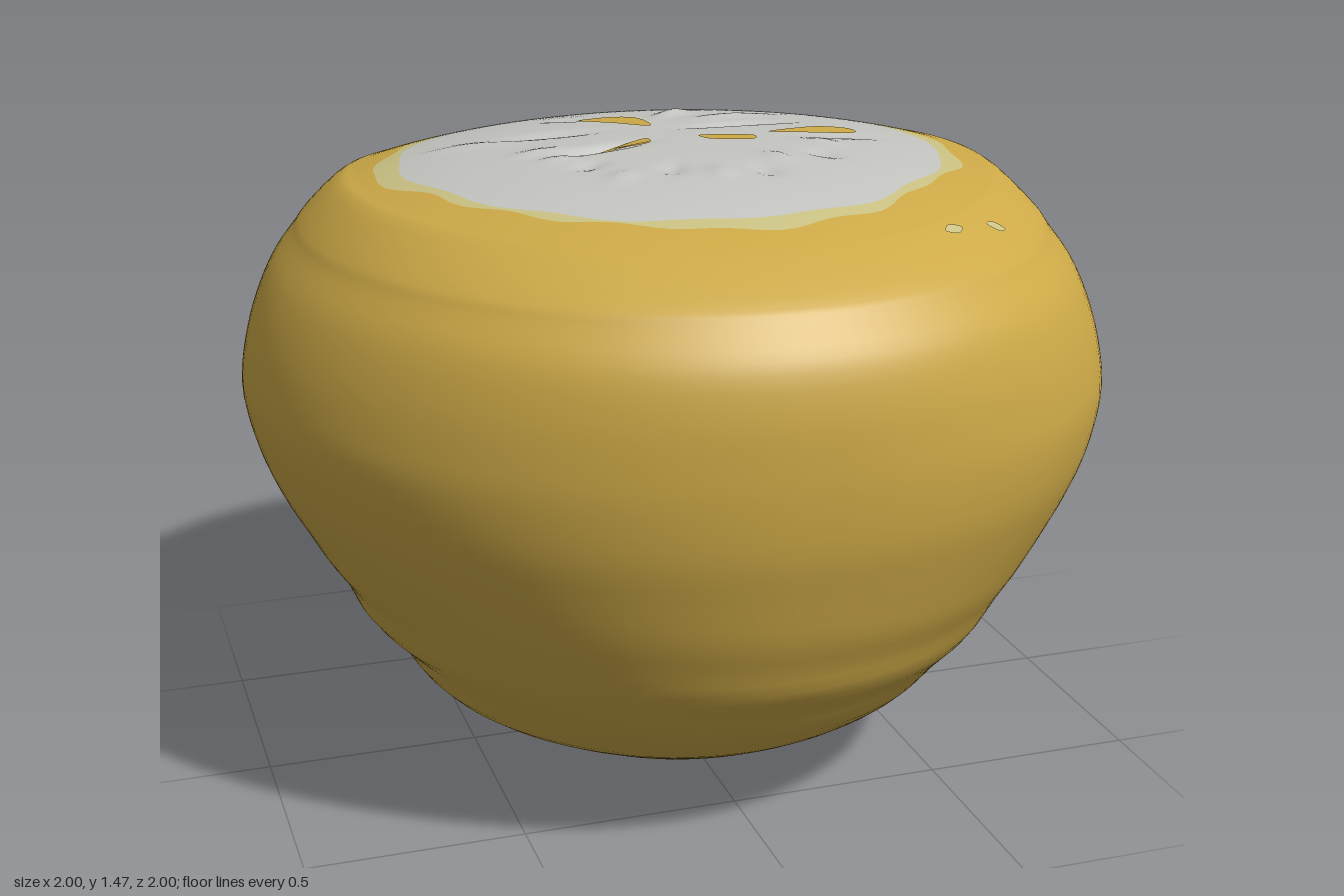
import * as THREE from 'three';

const skin = new THREE.MeshStandardMaterial({ color: 0xcda947 });
skin.name = 'golden skin';
const rim = new THREE.MeshStandardMaterial({ color: 0xcac183 });
rim.name = 'pale rim';
const flesh = new THREE.MeshStandardMaterial({ color: 0xc4c4c0 });
flesh.name = 'pale flesh';

// height, radius to the sides, radius to the front, radius to the back
const ROWS = [
  [0, 0, 0, 0], [0.01, 0.18, 0.17, 0.17], [0.04, 0.3, 0.3, 0.3], [0.09, 0.41, 0.44, 0.42],
  [0.14, 0.5, 0.54, 0.52], [0.2, 0.605, 0.64, 0.615], [0.3, 0.68, 0.75, 0.72], [0.4, 0.76, 0.83, 0.8],
  [0.5, 0.82, 0.885, 0.865], [0.6, 0.88, 0.925, 0.915], [0.7, 0.935, 0.955, 0.955],
  [0.8, 0.975, 0.982, 0.98], [0.92, 1, 0.997, 1], [1, 0.992, 1, 0.995], [1.1, 0.965, 0.997, 0.98],
  [1.2, 0.92, 0.975, 0.935], [1.27, 0.87, 0.925, 0.87], [1.3, 0.85, 0.9, 0.83],
];

// Radius of the flesh and of its rim every 22.5 degrees, from +x towards +z
const FLESH = [0.62, 0.63, 0.61, 0.62, 0.61, 0.62, 0.62, 0.62, 0.63, 0.61, 0.59, 0.6, 0.58, 0.58, 0.575, 0.6];
const RIM = [0.665, 0.67, 0.63, 0.655, 0.665, 0.64, 0.64, 0.645, 0.69, 0.645, 0.62, 0.645, 0.586, 0.592, 0.6, 0.645];

// Wrinkles in the cut: x, z, length, width, height, turn
const WRINKLES = [
  [-0.25, -0.11, 0.1, 0.025, -0.012, 0], [0.2, -0.1, 0.12, 0.02, -0.012, -0.1], [0.1, -0.28, 0.07, 0.025, 0.012, -0.8],
  [0.22, -0.2, 0.1, 0.03, 0.008, -0.2], [-0.15, -0.31, 0.05, 0.03, -0.01, 0.3], [-0.19, 0.08, 0.09, 0.022, -0.022, -0.3],
  [-0.33, 0.06, 0.06, 0.025, 0.008, -0.3], [0.4, 0.07, 0.08, 0.02, -0.008, 0], [-0.45, -0.1, 0.1, 0.03, 0.007, 0.2],
];
// A broken ring of small lumps towards the front of the cut
for (let i = 0; i < 9; i++) {
  const a = 0.4 + i * 0.29, r = 0.35 + 0.04 * Math.sin(i * 2.3);
  WRINKLES.push([r * Math.cos(a), r * Math.sin(a), 0.04, 0.025, i % 2 ? -0.01 : 0.008, a]);
}

function around(table, a) {
  const f = (a / (2 * Math.PI)) * table.length, i = Math.floor(f), t = f - i;
  const s = t * t * (3 - 2 * t);
  return table[i % table.length] * (1 - s) + table[(i + 1) % table.length] * s;
}

function blend(a, side, front, back) {
  const c = Math.cos(a) ** 2;
  return side * c + (Math.sin(a) > 0 ? front : back) * (1 - c);
}

// Height of the gently domed top
function topHeight(a, r) {
  let y = 1.465 - blend(a, 0.175, 0.22, 0.3) * r ** 3;
  const x = r * Math.cos(a), z = r * Math.sin(a);
  for (const [px, pz, len, wid, h, turn] of WRINKLES) {
    const c = Math.cos(turn), s = Math.sin(turn);
    const u = ((x - px) * c + (z - pz) * s) / len, v = ((z - pz) * c - (x - px) * s) / wid;
    y += h * Math.exp(-u * u - v * v);
  }
  return y;
}

// One closed skin from the base to the middle of the cut, in three colours
function fruitBody() {
  const COLS = 144, BODY = 64, LIP = 6, EDGE = 4, CUT = 36;
  const rows = BODY + LIP + EDGE + CUT;
  const pos = [], index = [];
  for (let j = 0; j < COLS; j++) {
    const a = (j / COLS) * 2 * Math.PI;
    const bulge = Math.cos(a) > 0 ? 0.022 * Math.max(0, Math.sin(2 * a)) : 0;
    const points = ROWS.map(([y, s, f, b]) => new THREE.Vector3(
      blend(a, s, f, b) * (1 + bulge * Math.exp(-(((y - 0.85) / 0.35) ** 2))), y, 0));
    points.push(new THREE.Vector3(0.76, topHeight(a, 0.76), 0), new THREE.Vector3(0.72, topHeight(a, 0.72), 0));
    const curve = new THREE.CatmullRomCurve3(points);
    const r1 = around(FLESH, a) + 0.006 * Math.sin(a * 13);
    const r2 = Math.max(r1 + 0.004, around(RIM, a) + 0.008 * Math.sin(a * 17 + 1));
    for (let i = 0; i <= rows; i++) {
      let r, y;
      if (i <= BODY) {
        const p = curve.getPoint(i / BODY);
        // Soft dents low on the body
        const low = Math.exp(-(((p.y - 0.38) / 0.16) ** 2));
        r = p.x + 0.006 * low * Math.sin(p.y * 40 + 2 * Math.cos(a)) * Math.cos(a * 2 + 0.4);
        y = p.y;
      } else {
        const k = i - BODY;
        if (k <= LIP) r = 0.72 + (r2 - 0.72) * (k / LIP);
        else if (k <= LIP + EDGE) r = r2 + (r1 - r2) * ((k - LIP) / EDGE);
        else r = r1 * (1 - (k - LIP - EDGE) / CUT);
        y = topHeight(a, r);
      }
      pos.push(r * Math.cos(a), y, r * Math.sin(a));
    }
  }
  const W = rows + 1;
  for (let i = 0; i < rows; i++) {
    for (let j = 0; j < COLS; j++) {
      const p = j * W + i, q = ((j + 1) % COLS) * W + i;
      index.push(p, p + 1, q, q, p + 1, q + 1);
    }
  }
  const g = new THREE.BufferGeometry();
  g.setAttribute('position', new THREE.Float32BufferAttribute(pos, 3));
  g.setIndex(index);
  const n = COLS * 6;
  g.addGroup(0, (BODY + LIP) * n, 0);
  g.addGroup((BODY + LIP) * n, EDGE * n, 1);
  g.addGroup((BODY + LIP + EDGE) * n, CUT * n, 2);
  g.computeVertexNormals();
  const mesh = new THREE.Mesh(g, [skin, rim, flesh]);
  mesh.name = 'fruitBody';
  return mesh;
}

// Thin patch with an outline of x, z pairs, laid on the surface below it
function patch(name, outline, material, body) {
  const curve = new THREE.CatmullRomCurve3(outline.map(([x, z]) => new THREE.Vector3(x, -z, 0)), true);
  const shape = new THREE.Shape(curve.getPoints(28).slice(0, -1).map((p) => new THREE.Vector2(p.x, p.y)));
  const g = new THREE.ShapeGeometry(shape);
  g.rotateX(-Math.PI / 2);
  const p = g.attributes.position, ray = new THREE.Raycaster(), down = new THREE.Vector3(0, -1, 0);
  for (let i = 0; i < p.count; i++) {
    ray.set(new THREE.Vector3(p.getX(i), 3, p.getZ(i)), down);
    const hit = ray.intersectObject(body)[0];
    p.setY(i, (hit ? hit.point.y : 1.4) + 0.005);
  }
  g.computeVertexNormals();
  const mesh = new THREE.Mesh(g, material);
  mesh.name = name;
  return mesh;
}

export function createModel() {
  const group = new THREE.Group();
  group.name = 'halvedFruit';
  const body = fruitBody();
  group.add(body);

  // Seed pockets in the cut
  const pockets = [
    [[-0.15, -0.235], [-0.06, -0.25], [-0.015, -0.22], [-0.012, -0.1], [-0.08, -0.16]],
    [[-0.24, 0.115], [-0.19, 0.075], [-0.1, 0.04], [-0.06, 0.03], [-0.07, 0.08], [-0.14, 0.11]],
    [[0.06, 0.04], [0.12, 0.045], [0.185, 0.07], [0.17, 0.11], [0.11, 0.1], [0.07, 0.08]],
    [[0.23, 0.04], [0.31, 0.005], [0.38, -0.015], [0.445, 0], [0.45, 0.04], [0.36, 0.05]],
  ];
  pockets.forEach((o, i) => group.add(patch('seedPocket' + (i + 1), o, skin, body)));

  // Small pale flecks on the skin: x, z, half length, half width, turn
  const flecks = [[0.775, -0.255, 0.022, 0.015, 1.2], [0.42, 0.66, 0.028, 0.014, -0.5], [0.545, 0.605, 0.025, 0.014, -0.2]];
  flecks.forEach(([x, z, l, w, t], i) => {
    const outline = [[l, 0], [0, w], [-l, 0], [0, -w]].map(([u, v]) =>
      [x + u * Math.cos(t) - v * Math.sin(t), z + u * Math.sin(t) + v * Math.cos(t)]);
    group.add(patch('paleFleck' + (i + 1), outline, rim, body));
  });
  return group;
}
